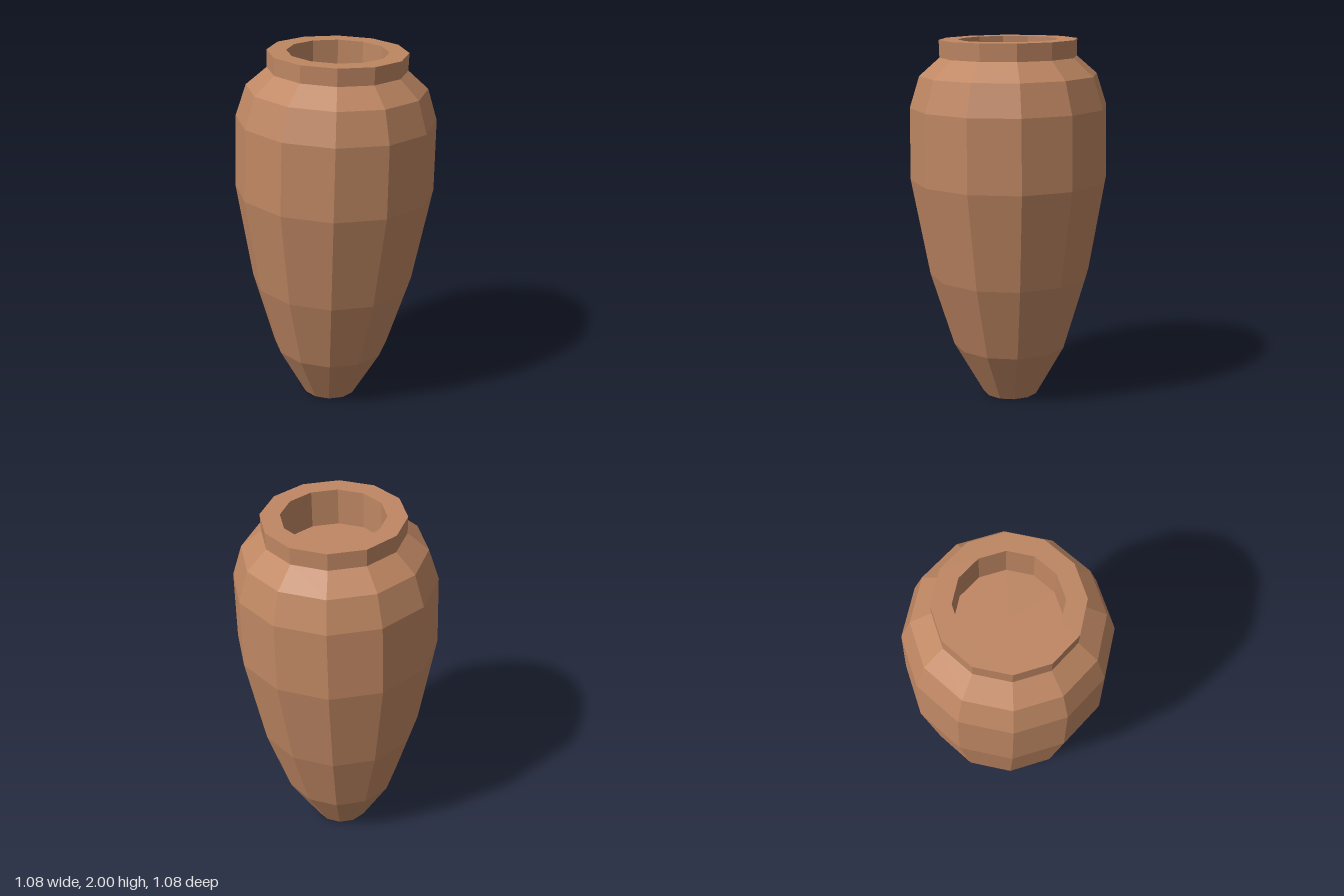
import * as THREE from 'three';

const clay = new THREE.MeshStandardMaterial({ color: 0xbf8763, flatShading: true });
const SIDES = 12;
const TURN = THREE.MathUtils.degToRad(4.3);

// Faceted turned part from [radius, height] pairs
function turned(name, profile) {
  const points = profile.map(([r, y]) => new THREE.Vector2(r, y));
  const mesh = new THREE.Mesh(new THREE.LatheGeometry(points, SIDES, TURN), clay);
  mesh.name = name;
  return mesh;
}

export function createModel() {
  const vase = new THREE.Group();
  vase.name = 'vase';

  // Closed foot, belly and shoulder
  vase.add(turned('body', [
    [0, 0], [0.154, 0], [0.319, 0.293], [0.444, 0.703],
    [0.54, 1.236], [0.535, 1.627], [0.481, 1.797], [0.371, 1.893],
  ]));

  // Collar, flat lip, and the shallow well inside the mouth
  vase.add(turned('rim', [
    [0.371, 1.893], [0.373, 1.986], [0.27, 1.986], [0.27, 1.786], [0, 1.786],
  ]));

  // The vase leans slightly to its left and forward
  vase.rotation.set(0.02, 0, -0.018);
  vase.position.set(-0.026, 0.004, -0.03);

  const model = new THREE.Group();
  model.add(vase);
  return model;
}
